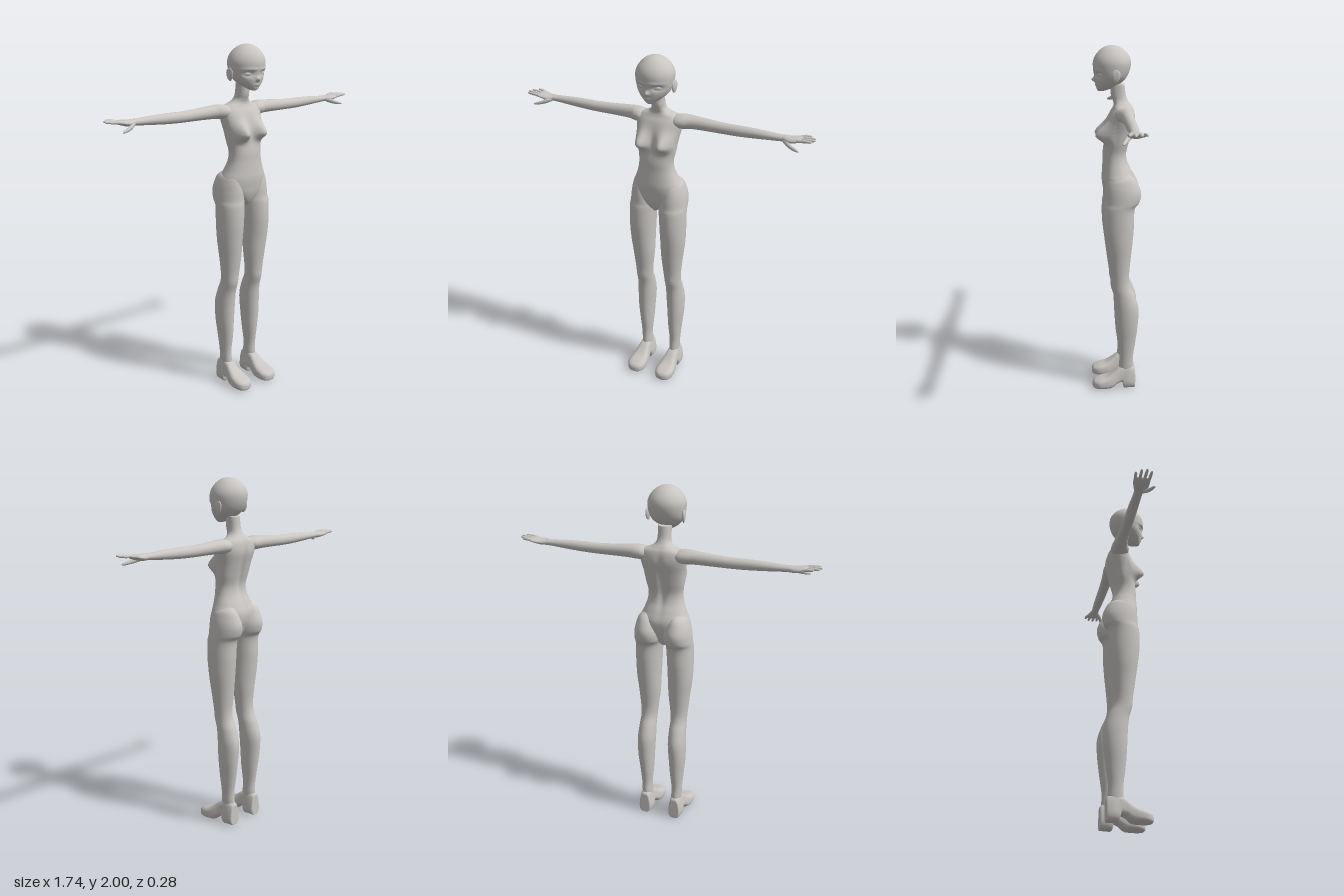
import * as THREE from 'three';

// Catmull-Rom blend between table values
const spline = (a, b, c, d, t) => 0.5 * (2 * b + (c - a) * t + (2 * a - 5 * b + 4 * c - d) * t * t + (3 * b - a - 3 * c + d) * t * t * t);

// Upright loft; each row is [height, centreX, halfWidth, frontZ, backZ]
function loft(rows, segs = 40, steps = 6, power = 1) {
  const pos = [], index = [], n = (rows.length - 1) * steps;
  const row = i => rows[Math.min(Math.max(i, 0), rows.length - 1)];
  const sq = v => Math.sign(v) * Math.abs(v) ** power;
  for (let i = 0; i <= n; i++) {
    const k = Math.min(Math.floor(i / steps), rows.length - 2), t = i / steps - k;
    const [y, c, w, f, b] = rows[0].map((_, j) => spline(row(k - 1)[j], row(k)[j], row(k + 1)[j], row(k + 2)[j], t));
    for (let s = 0; s < segs; s++) {
      const a = (s / segs) * Math.PI * 2;
      pos.push(c + w * sq(Math.cos(a)), y, (f + b) / 2 + ((f - b) / 2) * sq(Math.sin(a)));
      if (i < n) {
        const p = i * segs + s, q = i * segs + ((s + 1) % segs);
        index.push(p, p + segs, q, q, p + segs, q + segs);
      }
    }
  }
  // End caps
  for (const [start, top] of [[0, false], [n * segs, true]]) {
    for (let s = 1; s < segs - 1; s++) {
      if (top) index.push(start, start + s + 1, start + s);
      else index.push(start, start + s, start + s + 1);
    }
  }
  const g = new THREE.BufferGeometry();
  g.setAttribute('position', new THREE.Float32BufferAttribute(pos, 3));
  g.setIndex(index);
  g.computeVertexNormals();
  return g;
}

// Move every vertex by a rule
function sculpt(g, rule) {
  const p = g.attributes.position, v = new THREE.Vector3();
  for (let i = 0; i < p.count; i++) {
    v.fromBufferAttribute(p, i);
    rule(v);
    p.setXYZ(i, v.x, v.y, v.z);
  }
  g.computeVertexNormals();
  return g;
}

function mirrored(g) {
  const m = g.clone().scale(-1, 1, 1), ix = m.index.array;
  for (let i = 0; i < ix.length; i += 3) [ix[i], ix[i + 1]] = [ix[i + 1], ix[i]];
  m.computeVertexNormals();
  return m;
}

const bump = (d, s) => Math.exp(-((d / s) ** 2));

// Loft along +x; each row is [x, y, halfHeight, frontZ, backZ]
const sideLoft = (rows, segs, steps) =>
  loft(rows.map(([x, y, h, f, b]) => [x, -y, h, f, b]), segs, steps).rotateZ(-Math.PI / 2);

// Tapered round finger through [x, y, z, radius] points
const finger = pts => sideLoft(pts.map(([x, y, z, r]) => [x, y, r, z + r, z - r]), 12, 4);

export function createModel() {
  const model = new THREE.Group();
  model.name = 'mannequin';
  const grey = new THREE.MeshStandardMaterial({ color: 0xc8c5c2 });
  grey.name = 'warm grey';
  const add = (name, g) => {
    const m = new THREE.Mesh(g, grey);
    m.name = name;
    model.add(m);
  };
  const pair = (name, g) => {
    add('left' + name, g);
    add('right' + name, mirrored(g));
  };

  // Torso and neck
  const torso = loft([
    [1.10, 0, 0.012, 0.03, -0.04], [1.13, 0, 0.055, 0.05, -0.07], [1.17, 0, 0.105, 0.065, -0.09],
    [1.21, 0, 0.14, 0.072, -0.105], [1.26, 0, 0.143, 0.078, -0.108], [1.31, 0, 0.122, 0.076, -0.09],
    [1.36, 0, 0.105, 0.073, -0.068], [1.41, 0, 0.1, 0.072, -0.062], [1.47, 0, 0.11, 0.064, -0.075],
    [1.53, 0, 0.118, 0.056, -0.09], [1.59, 0, 0.13, 0.045, -0.105], [1.63, 0, 0.135, 0.032, -0.105],
    [1.66, 0, 0.115, 0.015, -0.098], [1.68, 0, 0.065, 0.01, -0.085], [1.70, 0, 0.042, 0.015, -0.07],
    [1.73, 0, 0.036, 0.025, -0.058], [1.79, 0, 0.036, 0.03, -0.05],
  ], 96, 8, 0.9);
  sculpt(torso, v => {
    const ax = Math.abs(v.x), dy = v.y - 1.515;
    if (v.z > 0) v.z += 0.066 * bump(ax - 0.068, 0.043) * bump(dy, dy > 0 ? 0.06 : 0.036);
    else v.z += 0.014 * bump(ax, 0.02) * bump(v.y - 1.47, 0.14); // spine groove
  });
  add('torso', torso);

  // Head with a small face
  const head = loft([
    [1.752, 0, 0.006, 0.092, 0.07], [1.758, 0, 0.022, 0.1, 0.045], [1.775, 0, 0.048, 0.106, 0.01],
    [1.8, 0, 0.076, 0.112, -0.035], [1.83, 0, 0.095, 0.116, -0.062], [1.87, 0, 0.104, 0.122, -0.08],
    [1.91, 0, 0.105, 0.123, -0.085], [1.945, 0, 0.091, 0.11, -0.073], [1.975, 0, 0.064, 0.084, -0.046],
    [1.993, 0, 0.034, 0.055, -0.015], [2, 0, 0.002, 0.022, 0.018],
  ], 96, 9);
  sculpt(head, v => {
    if (v.z < 0.04) return;
    const ax = Math.abs(v.x);
    v.z += 0.018 * bump(ax, 0.011) * bump(v.y - 1.816, 0.012) // nose
      + 0.004 * bump(ax, 0.016) * bump(v.y - 1.785, 0.006) // lips
      - 0.013 * bump(ax - 0.052, 0.028) * bump(v.y - 1.845, 0.015) // eye sockets
      + 0.004 * bump(ax - 0.045, 0.04) * bump(v.y - 1.869, 0.007); // brow
  });
  add('head', head);
  pair('Eye', new THREE.SphereGeometry(1, 20, 12).scale(0.023, 0.012, 0.009).rotateY(0.45).translate(0.052, 1.845, 0.09));
  pair('Ear', sculpt(new THREE.SphereGeometry(1, 20, 16).scale(0.009, 0.036, 0.023), v => {
    v.x += 0.25 * Math.max(0, -v.z); // flares towards the back
    v.z *= 1 + v.y * 8;
  }).translate(0.102, 1.84, 0.002));

  // Legs, including the hips
  pair('Leg', loft([
    [1.31, 0.08, 0.01, -0.01, -0.05], [1.28, 0.09, 0.046, 0.045, -0.1], [1.24, 0.09, 0.064, 0.06, -0.125],
    [1.19, 0.088, 0.077, 0.066, -0.14], [1.14, 0.089, 0.08, 0.068, -0.13], [1.1, 0.093, 0.078, 0.074, -0.104],
    [1.0, 0.096, 0.075, 0.074, -0.1], [0.9, 0.096, 0.071, 0.063, -0.092], [0.8, 0.092, 0.063, 0.05, -0.082],
    [0.7, 0.092, 0.052, 0.036, -0.074], [0.64, 0.093, 0.047, 0.031, -0.082], [0.58, 0.094, 0.049, 0.014, -0.108],
    [0.5, 0.096, 0.052, 0.006, -0.13], [0.4, 0.098, 0.048, 0.001, -0.126], [0.3, 0.096, 0.04, -0.006, -0.114],
    [0.2, 0.096, 0.031, -0.018, -0.1], [0.13, 0.094, 0.03, -0.016, -0.102], [0.08, 0.094, 0.026, -0.02, -0.09],
  ].reverse(), 48, 6));

  // Heeled shoes, lofted along z from [z, halfWidth, bottom, top]
  const shoe = loft([
    [-0.112, 0.022, 0.006, 0.11], [-0.108, 0.036, 0, 0.13], [-0.075, 0.043, 0, 0.145], [-0.045, 0.042, 0, 0.145],
    [-0.035, 0.042, 0.034, 0.138], [-0.01, 0.044, 0.03, 0.125], [0.025, 0.05, 0.004, 0.098], [0.06, 0.055, 0, 0.076],
    [0.1, 0.054, 0, 0.063], [0.13, 0.037, 0.002, 0.05], [0.141, 0.012, 0.012, 0.034],
  ].map(([z, w, lo, hi]) => [z, 0, w, -lo, -hi]), 40, 5, 0.62).rotateX(Math.PI / 2);
  sculpt(shoe, v => {
    v.x *= 1 - 0.24 * THREE.MathUtils.smoothstep(v.y, 0.03, 0.13);
    v.x += 0.095;
    v.y = Math.max(0, v.y);
  });
  pair('Shoe', shoe);

  // Arms
  pair('Arm', sideLoft([
    [0.06, 1.635, 0.02, -0.02, -0.07], [0.1, 1.634, 0.036, 0.008, -0.095], [0.14, 1.636, 0.04, 0.006, -0.098],
    [0.19, 1.637, 0.037, -0.012, -0.093], [0.28, 1.634, 0.033, -0.022, -0.088], [0.38, 1.631, 0.03, -0.026, -0.086],
    [0.47, 1.632, 0.029, -0.027, -0.085], [0.57, 1.634, 0.025, -0.03, -0.084], [0.66, 1.635, 0.019, -0.033, -0.081],
    [0.7, 1.636, 0.017, -0.033, -0.082],
  ], 36, 6));

  // Hands
  pair('Palm', sideLoft([
    [0.67, 1.636, 0.014, -0.036, -0.078], [0.7, 1.636, 0.017, -0.032, -0.083], [0.735, 1.636, 0.017, -0.016, -0.094],
    [0.77, 1.641, 0.014, -0.013, -0.103], [0.792, 1.645, 0.01, -0.016, -0.102], [0.802, 1.647, 0.003, -0.028, -0.09],
  ], 28, 5));
  [[-0.022, -0.02, 0.858], [-0.046, -0.047, 0.87], [-0.071, -0.075, 0.862], [-0.094, -0.101, 0.836]].forEach(([z0, z1, tip], i) => {
    const at = t => 0.775 + (tip - 0.775) * t, z = t => z0 + (z1 - z0) * t;
    pair('Finger' + (i + 1), finger([
      [at(0), 1.643, z(0), 0.008], [at(0.45), 1.65, z(0.45), 0.0085], [at(0.85), 1.652, z(0.85), 0.007],
      [at(0.97), 1.653, z(0.97), 0.004], [at(1), 1.653, z(1), 0.001],
    ]));
  });
  pair('Thumb', finger([
    [0.695, 1.633, -0.045, 0.008], [0.725, 1.624, -0.026, 0.0135], [0.755, 1.613, -0.01, 0.011],
    [0.782, 1.606, 0, 0.0085], [0.797, 1.603, 0.005, 0.005], [0.802, 1.602, 0.006, 0.001],
  ]));

  return model;
}
